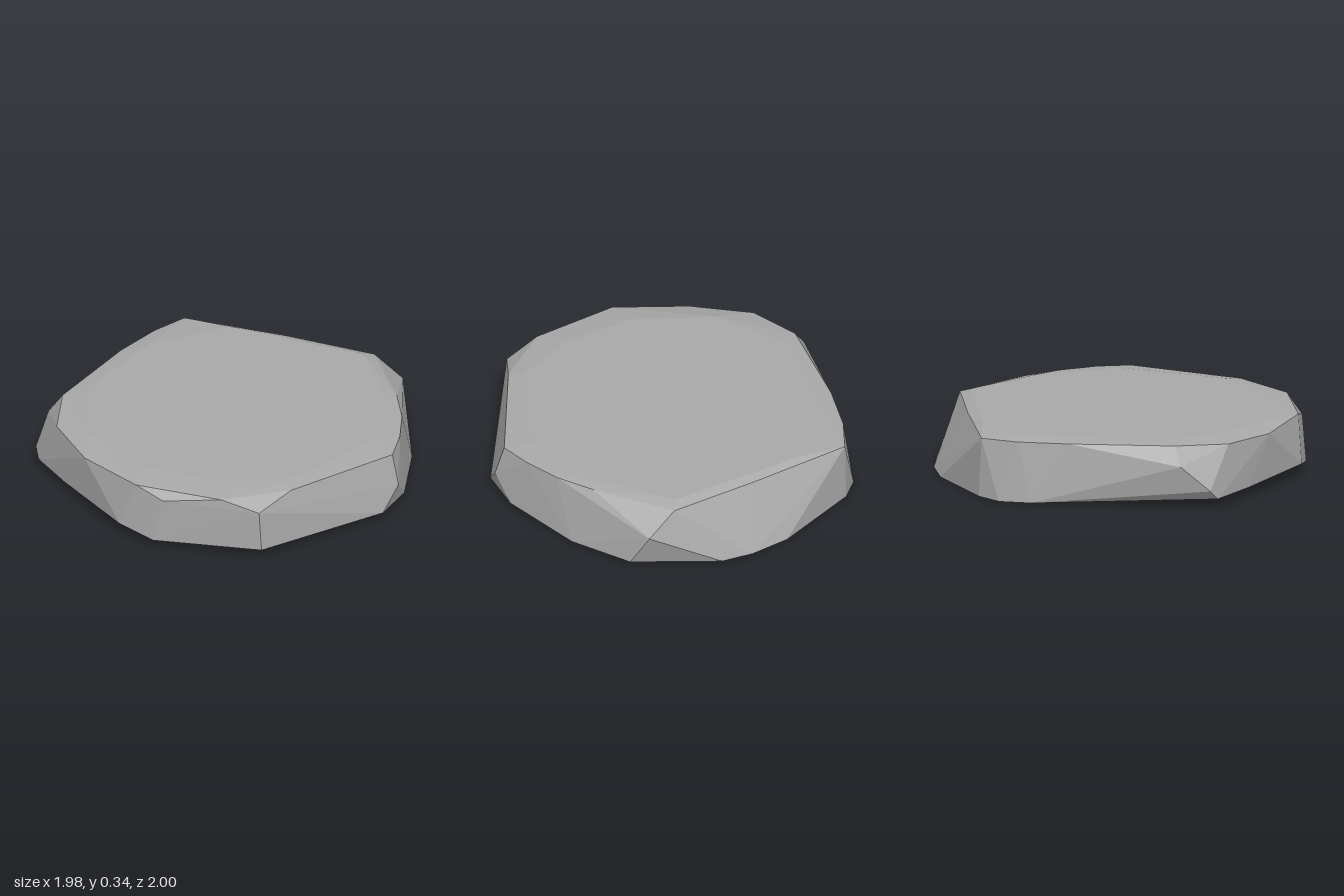
import * as THREE from 'three';
import { ConvexGeometry } from 'three/addons/geometries/ConvexGeometry.js';

// Corner rings of the slab, each corner as [x, y, z]
const underside = [
  [-0.22, 0, -0.97], [0, 0, -1], [0.18, 0, -0.985], [0.63, 0.015, -0.78],
  [0.81, 0, -0.45], [0.96, 0.035, -0.03], [0.95, 0.04, 0.22], [0.53, 0.045, 0.86],
  [-0.05, 0.035, 0.995], [-0.26, 0.07, 0.965], [-0.72, 0.055, 0.67],
  [-0.955, 0.05, 0.5], [-0.84, 0.005, -0.5], [-0.78, 0, -0.67], [-0.68, 0.005, -0.775],
];
const flank = [
  [0.56, 0.2, -0.87], [0.985, 0.16, 0.1], [0.515, 0.27, 0.86], [0, 0.28, 0.975],
  [-0.99, 0.1, 0.46], [-0.99, 0.235, 0.3], [-0.55, 0.31, 0.785],
];
const rim = [
  [-0.68, 0.325, -0.76], [-0.1, 0.325, -0.82], [0.4, 0.32, -0.85], [0.7, 0.33, -0.49],
  [0.82, 0.33, -0.3], [0.9, 0.33, -0.1], [0.94, 0.325, 0.08], [0.61, 0.33, 0.66],
  [0.31, 0.325, 0.9], [-0.17, 0.325, 0.95], [-0.82, 0.32, 0.56],
  [-0.92, 0.335, 0.27], [-0.84, 0.33, -0.3], [-0.77, 0.325, -0.57],
];
const crown = [
  [-0.4, 0.343, -0.75], [0.36, 0.343, -0.79], [0.66, 0.343, -0.44], [0.8, 0.343, 0.02],
  [0.55, 0.343, 0.6], [0.2, 0.343, 0.76], [-0.2, 0.343, 0.78], [-0.6, 0.343, 0.6],
  [-0.83, 0.343, 0.2], [-0.72, 0.343, -0.4],
];

export function createModel() {
  const group = new THREE.Group();
  group.name = 'flatStone';

  const stone = new THREE.MeshStandardMaterial({ color: 0xa8a8a8 });
  stone.name = 'stone grey';
  stone.flatShading = true;

  // Faceted slab wrapped around all the rings
  const corners = [...underside, ...flank, ...rim, ...crown].map((p) => new THREE.Vector3(...p));
  const slab = new THREE.Mesh(new ConvexGeometry(corners), stone);
  slab.name = 'stoneSlab';
  group.add(slab);
  return group;
}
